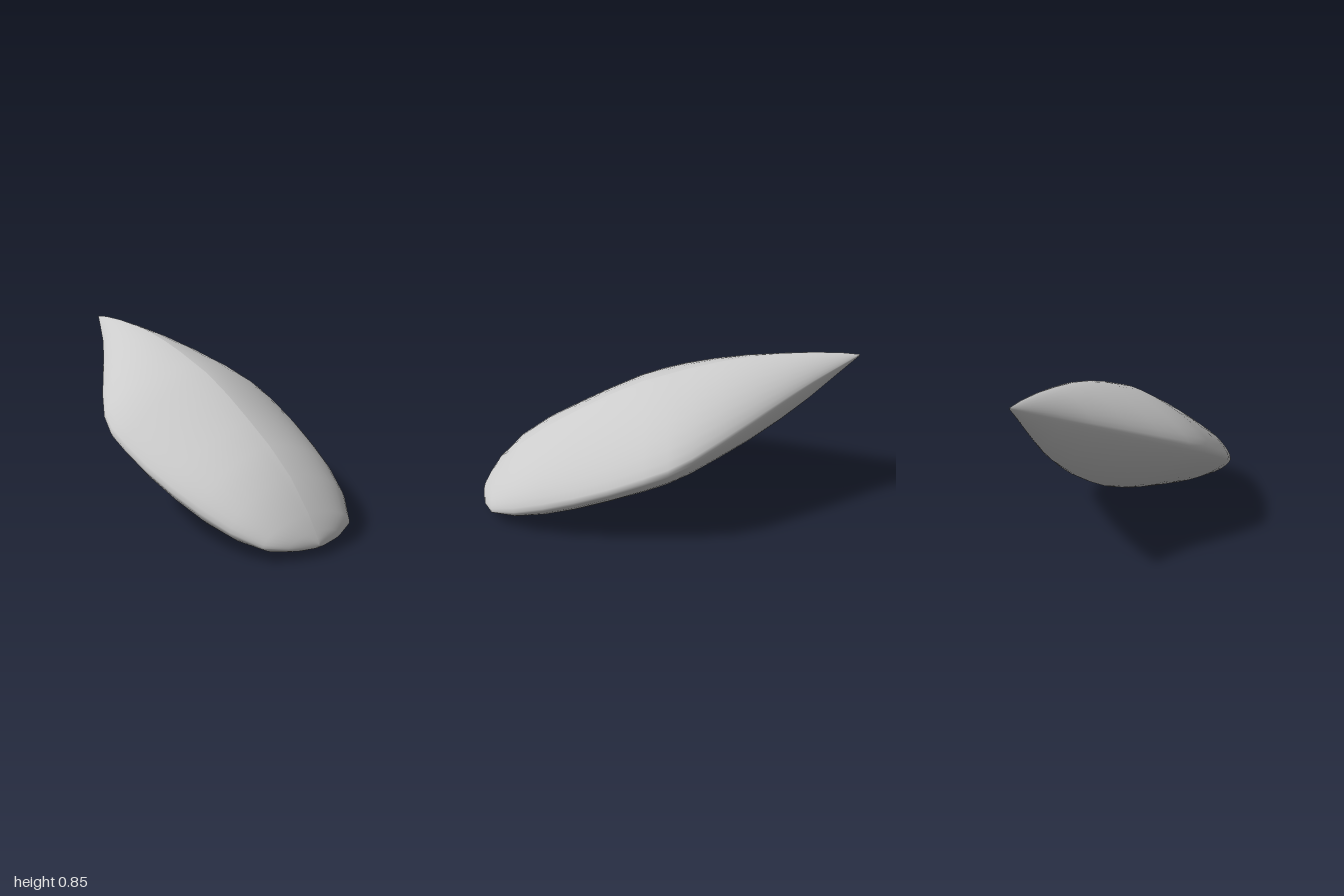
import * as THREE from 'three';

// Stations from blunt nose to pointed tail: z, half width, upper keel y, lower keel y
const STATIONS = [
  [1, 0, 0.06, 0.048], [0.99, 0.07, 0.085, 0.04], [0.97, 0.16, 0.115, 0.032],
  [0.92, 0.27, 0.185, 0.02], [0.79, 0.36, 0.325, 0.006], [0.63, 0.425, 0.44, 0.008],
  [0.47, 0.47, 0.53, 0.025], [0.3, 0.502, 0.62, 0.065], [0.12, 0.515, 0.70, 0.115],
  [0, 0.515, 0.735, 0.155], [-0.12, 0.48, 0.77, 0.20], [-0.27, 0.40, 0.806, 0.27],
  [-0.43, 0.305, 0.833, 0.355], [-0.6, 0.20, 0.848, 0.47], [-0.75, 0.115, 0.855, 0.595],
  [-0.9, 0.045, 0.853, 0.74], [-1, 0, 0.842, 0.836],
];
const SEGMENTS = 20;

// One half of the body, lofted from keel to keel; side is 1 (left) or -1 (right)
function halfShell(side) {
  const positions = [], indices = [], row = SEGMENTS + 1;
  STATIONS.forEach(([z, width, top, bottom], i) => {
    const rim = 0.445 - 0.395 * z;
    // Sections are keeled at the tail and rounder at the nose
    const power = THREE.MathUtils.lerp(1.42, 1.8, THREE.MathUtils.smoothstep(z, 0.3, 0.95));
    for (let j = 0; j <= SEGMENTS; j++) {
      const a = Math.PI * (j / SEGMENTS - 0.5);
      const x = width * Math.pow(Math.max(0, Math.cos(a)), 2 / power);
      const s = Math.pow(Math.abs(Math.sin(a)), 2 / power);
      positions.push(side * x, rim + s * ((a > 0 ? top : bottom) - rim), z);
      if (i && j) {
        const d = i * row + j, c = d - 1, b = d - row, e = b - 1;
        if (side > 0) indices.push(e, c, b, b, c, d);
        else indices.push(e, b, c, b, d, c);
      }
    }
  });
  const geometry = new THREE.BufferGeometry();
  geometry.setAttribute('position', new THREE.Float32BufferAttribute(positions, 3));
  geometry.setIndex(indices);
  geometry.computeVertexNormals();
  return geometry;
}

export function createModel() {
  const group = new THREE.Group();
  group.name = 'pointedPod';
  const material = new THREE.MeshStandardMaterial({ color: 0xcccccc, side: THREE.DoubleSide });
  for (const [name, side] of [['leftShell', 1], ['rightShell', -1]]) {
    const mesh = new THREE.Mesh(halfShell(side), material);
    mesh.name = name;
    group.add(mesh);
  }
  return group;
}
